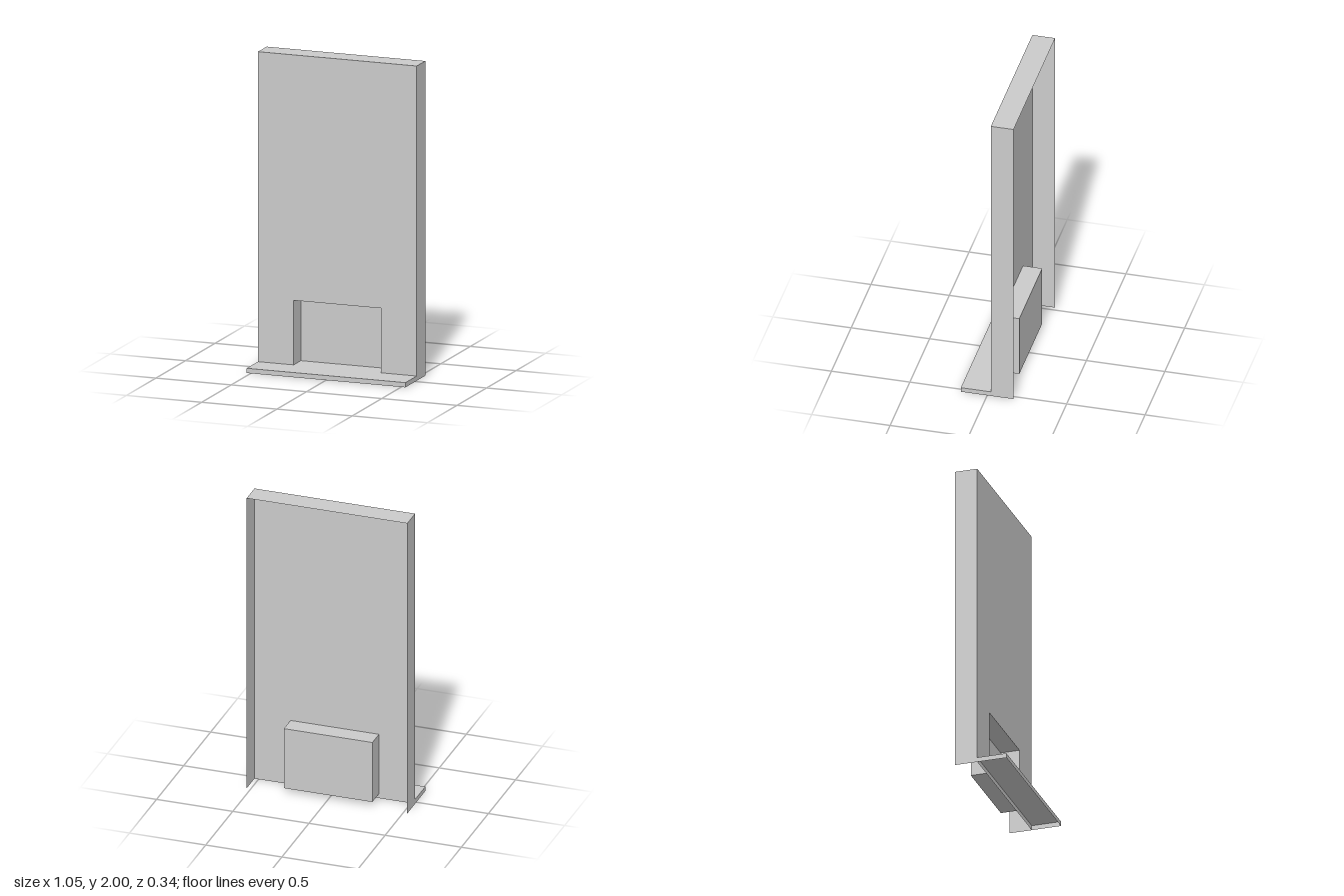
import * as THREE from 'three';

export function createModel() {
  const model = new THREE.Group();
  model.name = 'fireplace';
  const material = new THREE.MeshStandardMaterial({ color: 0xcccccc, side: THREE.DoubleSide, flatShading: true });

  const halfW = 0.527, height = 2;
  const back = -0.168, wall = -0.023, front = 0.168;
  const hearthY = 0.03;
  const boxHalfW = 0.29, boxTop = 0.44, boxBack = -0.145;

  const add = (name, geometry, parent) => {
    const mesh = new THREE.Mesh(geometry, material);
    mesh.name = name;
    parent.add(mesh);
  };
  const group = (name) => {
    const g = new THREE.Group();
    g.name = name;
    model.add(g);
    return g;
  };
  // Thin sheets facing +z, +y or sideways
  const upright = (x, y0, y1, z) => new THREE.PlaneGeometry(2 * x, y1 - y0).translate(0, (y0 + y1) / 2, z);
  const level = (x, y, z0, z1) =>
    new THREE.PlaneGeometry(2 * x, z1 - z0).rotateX(-Math.PI / 2).translate(0, y, (z0 + z1) / 2);
  const side = (x, y0, y1, z0, z1) =>
    new THREE.PlaneGeometry(z1 - z0, y1 - y0)
      .rotateY(Math.sign(x) * Math.PI / 2).translate(x, (y0 + y1) / 2, (z0 + z1) / 2);
  const rect = (path, x, y0, y1) =>
    path.moveTo(-x, y0).lineTo(x, y0).lineTo(x, y1).lineTo(-x, y1).closePath();

  // Chimney breast: front wall with an opening, sides and top; open at the back and bottom
  const breast = group('chimneyBreast');
  const face = rect(new THREE.Shape(), halfW, 0, height);
  face.holes.push(rect(new THREE.Path(), boxHalfW, hearthY, boxTop));
  add('frontWall', new THREE.ShapeGeometry(face).translate(0, 0, wall), breast);
  add('topPanel', level(halfW, height, back, wall), breast);

  // Firebox recessed behind the opening
  const firebox = group('firebox');
  add('fireboxBack', upright(boxHalfW, hearthY, boxTop, boxBack), firebox);
  add('fireboxFloor', level(boxHalfW, hearthY, boxBack, wall), firebox);
  add('fireboxCeiling', level(boxHalfW, boxTop, boxBack, wall), firebox);

  // Hearth slab, hollow underneath
  const hearth = group('hearth');
  add('hearthTop', level(halfW, hearthY, wall, front), hearth);
  add('hearthFront', upright(halfW, 0, hearthY, front), hearth);

  // Mirrored side panels
  for (const [s, label] of [[1, 'left'], [-1, 'right']]) {
    add(label + 'BreastSide', side(s * halfW, 0, height, back, wall), breast);
    add(label + 'FireboxSide', side(s * boxHalfW, hearthY, boxTop, boxBack, wall), firebox);
    add(label + 'HearthSide', side(s * halfW, 0, hearthY, wall, front), hearth);
  }
  return model;
}
